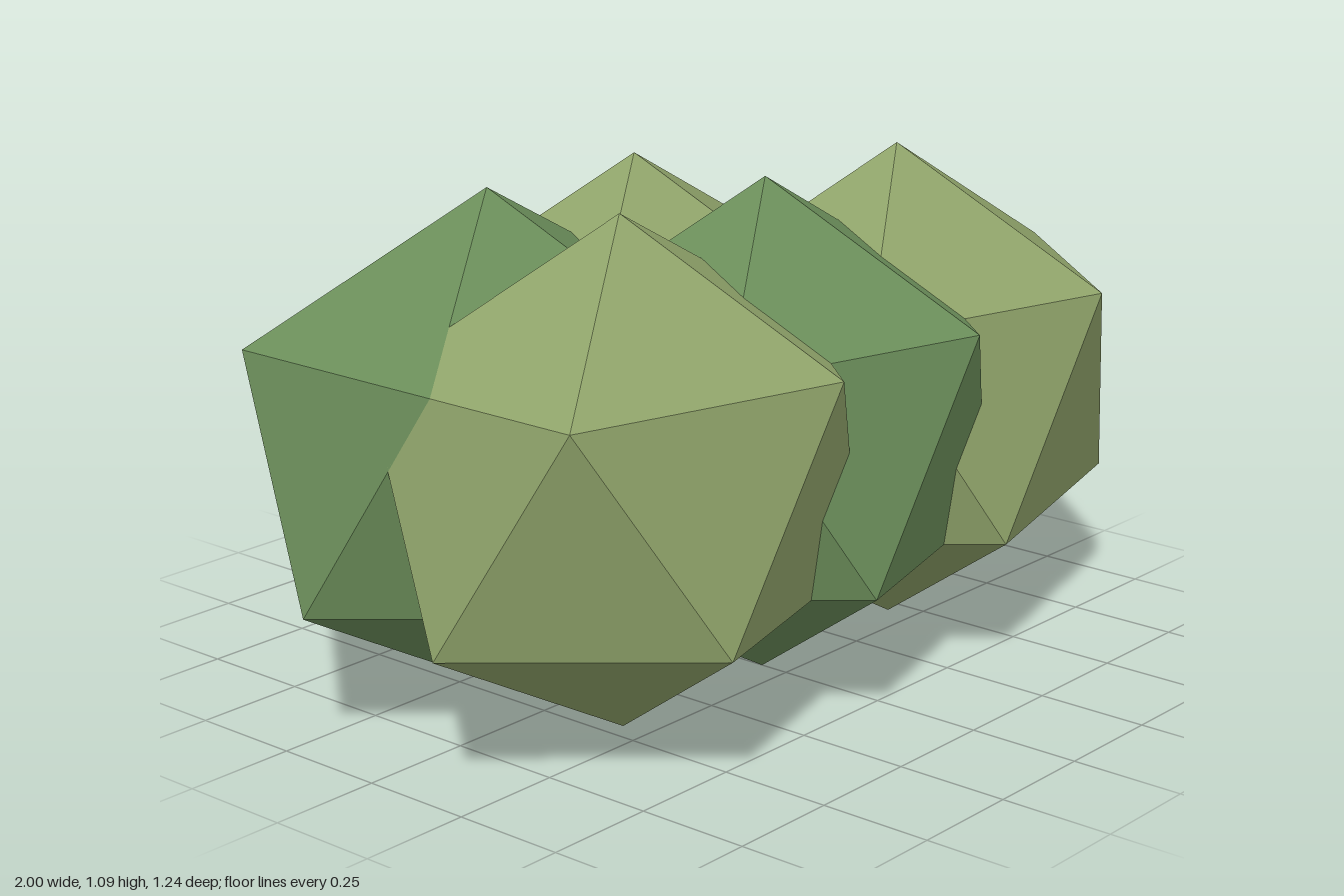
import * as THREE from 'three';

const RX = 0.61, RY = 0.546, RZ = 0.514; // clump radii

// Stretched icosahedron standing on one of its corners
function clumpGeometry() {
  const golden = (1 + Math.sqrt(5)) / 2;
  const geometry = new THREE.IcosahedronGeometry(1, 0);
  geometry.rotateZ(-Math.atan(1 / golden));
  geometry.scale(RX, RY, RZ);
  geometry.translate(0, RY, 0);
  return geometry;
}

export function createModel() {
  const bush = new THREE.Group();
  bush.name = 'bush';

  const geometry = clumpGeometry();
  const light = new THREE.MeshStandardMaterial({ color: 0x8fa36a, flatShading: true });
  const dark = new THREE.MeshStandardMaterial({ color: 0x6b8e5a, flatShading: true });

  // Three clumps in the front row, two in the back row, colours alternating
  const clumps = [
    ['frontRightClump', -0.455, 0.183, light],
    ['frontMiddleClump', 0, 0.183, dark],
    ['frontLeftClump', 0.455, 0.183, light],
    ['backRightClump', -0.455, -0.183, dark],
    ['backMiddleClump', 0, -0.183, light],
  ];
  for (const [name, x, z, material] of clumps) {
    const clump = new THREE.Mesh(geometry, material);
    clump.name = name;
    clump.position.set(x, 0, z);
    bush.add(clump);
  }
  return bush;
}
